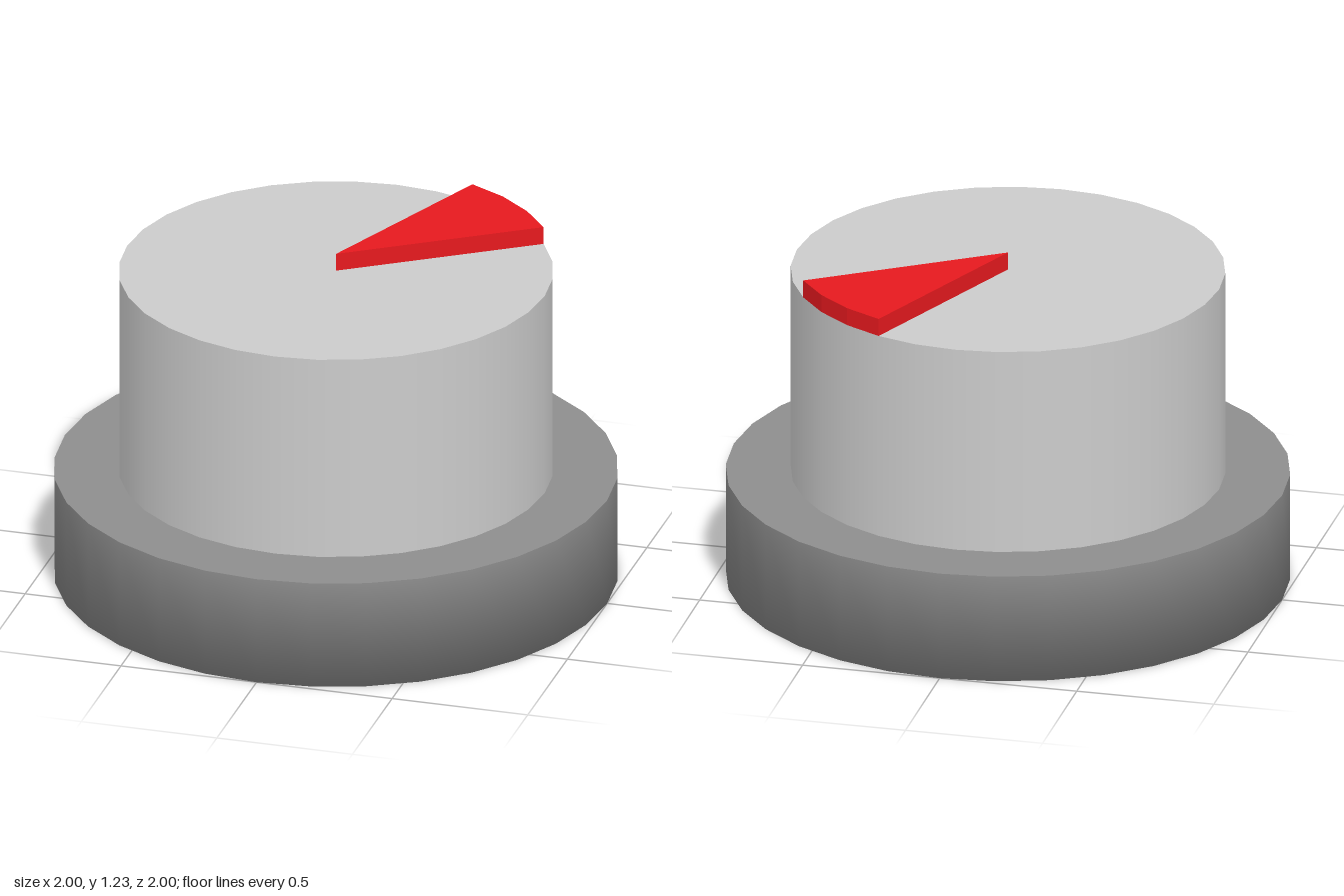
import * as THREE from 'three';

const SIDES = 32;
const STEP = (Math.PI * 2) / SIDES;
const BASE_TOP = 0.4, BODY_TOP = 1.165, MARK_TOP = 1.23, BODY_R = 0.77;

export function createModel() {
  const model = new THREE.Group();
  model.name = 'knob';
  const grey = new THREE.MeshStandardMaterial({ color: 0xcccccc });
  const darkGrey = new THREE.MeshStandardMaterial({ color: 0x8e8e8e });
  const red = new THREE.MeshStandardMaterial({ color: 0xe6191e });

  const add = (parent, name, geometry, material, y = 0) => {
    const mesh = new THREE.Mesh(geometry, material);
    mesh.name = name;
    mesh.position.y = y;
    parent.add(mesh);
    return mesh;
  };

  // Wide base: underside and wall share softened normals, the top edge is sharp
  const base = new THREE.Group();
  base.name = 'base';
  model.add(base);
  const profile = [[0, 0], [1, 0], [1, BASE_TOP]].map(([r, y]) => new THREE.Vector2(r, y));
  add(base, 'baseShell', new THREE.LatheGeometry(profile, SIDES), darkGrey);
  add(base, 'baseTop', new THREE.CircleGeometry(1, SIDES).rotateX(-Math.PI / 2), darkGrey, BASE_TOP);

  // Turning body
  const height = BODY_TOP - BASE_TOP;
  add(model, 'body', new THREE.CylinderGeometry(BODY_R, BODY_R, height, SIDES), grey, BASE_TOP + height / 2);

  // Wedge pointer: three facets wide, from the centre to the rim
  const wedge = new THREE.Shape();
  wedge.moveTo(0, 0);
  for (let i = 3; i <= 6; i++) wedge.lineTo(BODY_R * Math.cos(i * STEP), BODY_R * Math.sin(i * STEP));
  wedge.closePath();
  const pointer = new THREE.ExtrudeGeometry(wedge, { depth: MARK_TOP - BODY_TOP, bevelEnabled: false });
  add(model, 'pointer', pointer.rotateX(-Math.PI / 2), red, BODY_TOP);

  return model;
}
